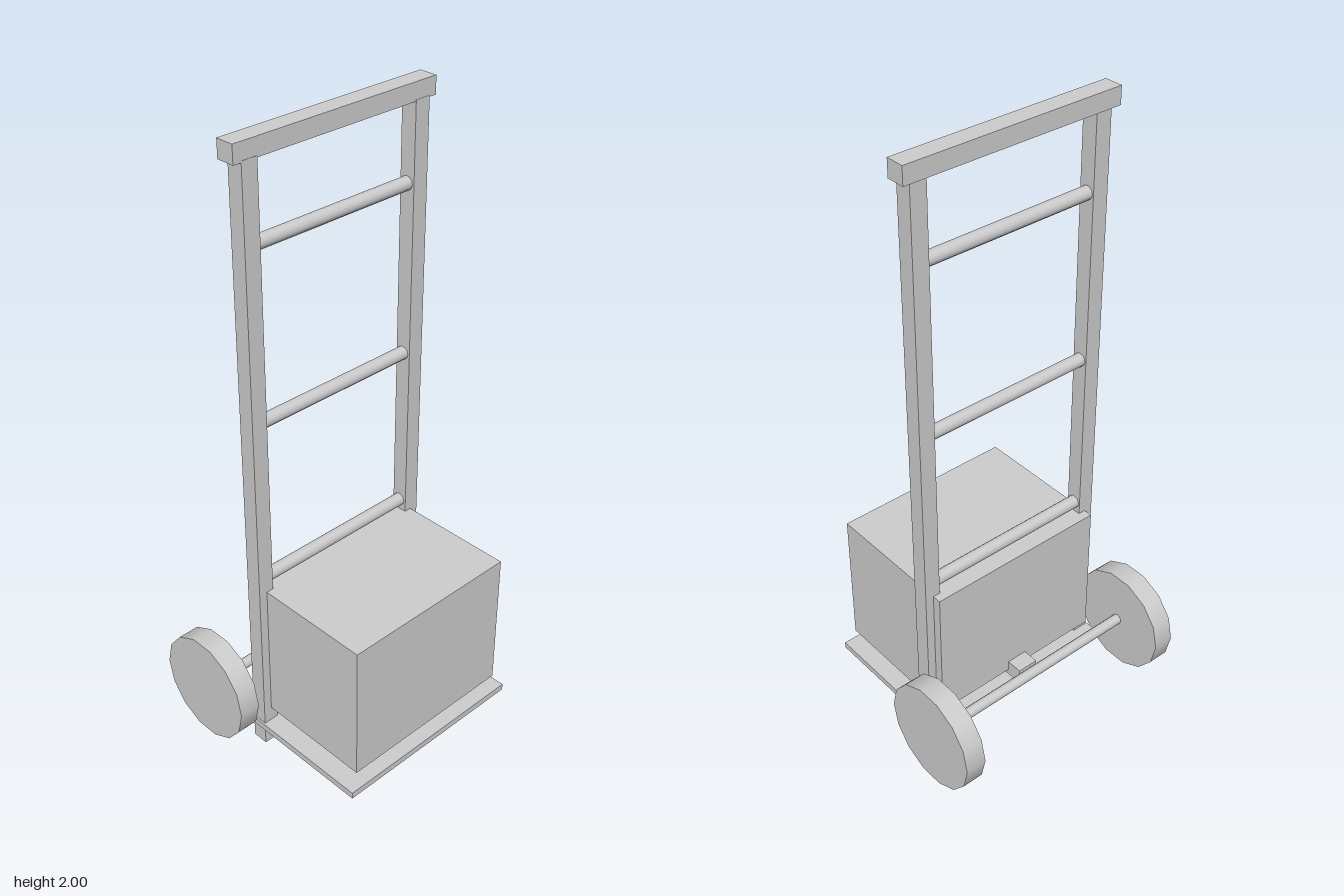
import * as THREE from 'three';

export function createModel() {
  const group = new THREE.Group();
  group.name = 'handTruck';
  const grey = new THREE.MeshStandardMaterial({ color: 0xcccccc });
  grey.name = 'lightGrey';

  const add = (name, geometry, x, y, z) => {
    const mesh = new THREE.Mesh(geometry, grey);
    mesh.name = name;
    mesh.position.set(x, y, z);
    group.add(mesh);
    return mesh;
  };
  // Box given by its lower and upper limits on each axis
  const box = (name, [x0, x1], [y0, y1], [z0, z1]) =>
    add(name, new THREE.BoxGeometry(x1 - x0, y1 - y0, z1 - z0),
      (x0 + x1) / 2, (y0 + y1) / 2, (z0 + z1) / 2);
  // Cylinder lying along x
  const bar = (name, radius, length, sides, x, y, z) =>
    add(name, new THREE.CylinderGeometry(radius, radius, length, sides).rotateZ(Math.PI / 2), x, y, z);

  // Frame: two rails, top handle and three rungs
  box('leftRail', [0.28, 0.332], [0, 1.95], [-0.08, -0.028]);
  box('rightRail', [-0.332, -0.28], [0, 1.95], [-0.08, -0.028]);
  box('handle', [-0.357, 0.357], [1.945, 2], [-0.088, -0.029]);
  [0.63, 1.165, 1.705].forEach((y, i) => bar('rung' + (i + 1), 0.021, 0.57, 12, 0, y, -0.055));

  // Toe plate, carried box and the small bracket behind it
  box('toePlate', [-0.338, 0.338], [0.061, 0.083], [-0.128, 0.371]);
  box('cargoBox', [-0.304, 0.304], [0.131, 0.594], [-0.109, 0.354]);
  box('axleBracket', [-0.035, 0.035], [0.112, 0.167], [-0.163, -0.095]);

  // Axle and wheels
  bar('axle', 0.0175, 0.74, 12, 0, 0.178, -0.201);
  bar('leftWheel', 0.178, 0.07, 14, 0.393, 0.178, -0.201);
  bar('rightWheel', 0.178, 0.07, 14, -0.393, 0.178, -0.201);

  return group;
}
